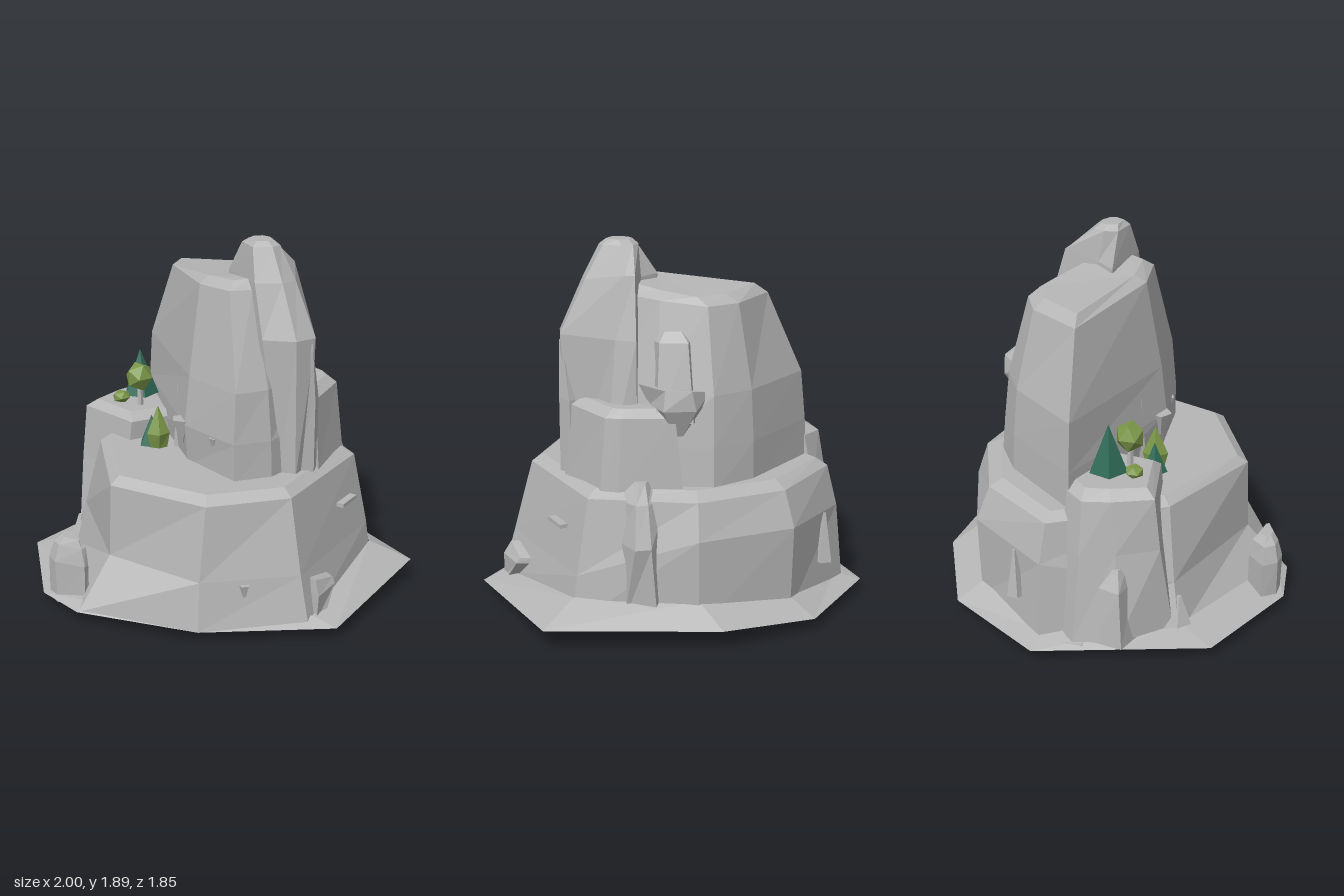
import * as THREE from 'three';

const mat = (name, color) => new THREE.MeshStandardMaterial({ name, color, flatShading: true, side: THREE.DoubleSide });

// Skin a stack of [height, [[x, z, extraHeight?], ...]] rings, listed counter-clockwise from above
function loft(levels, cap = true, floor = false) {
  const rings = levels.map(([y, pts]) => pts.map(([x, z, dy = 0]) => [x, y + dy, z]));
  const pos = [];
  const tri = (...p) => p.forEach(v => pos.push(...v));
  const n = rings[0].length;
  for (let k = 0; k + 1 < rings.length; k++) {
    const a = rings[k], b = rings[k + 1];
    for (let i = 0; i < n; i++) {
      const j = (i + 1) % n;
      tri(a[i], a[j], b[j]);
      tri(a[i], b[j], b[i]);
    }
  }
  const top = rings[rings.length - 1];
  for (let i = 1; i + 1 < n; i++) {
    if (cap) tri(top[0], top[i], top[i + 1]);
    if (floor) tri(rings[0][0], rings[0][i + 1], rings[0][i]);
  }
  const g = new THREE.BufferGeometry();
  g.setAttribute('position', new THREE.Float32BufferAttribute(pos, 3));
  g.computeVertexNormals();
  return g;
}

export function createModel() {
  const root = new THREE.Group();
  root.name = 'rockIsland';
  const rock = mat('rock grey', 0xb6b6b6);
  const pine = mat('pine green', 0x2f6a56);
  const leaf = mat('leaf green', 0x7b9748);

  const add = (name, geo, m = rock, x = 0, y = 0, z = 0) => {
    const mesh = new THREE.Mesh(geo, m);
    mesh.name = name;
    mesh.position.set(x, y, z);
    root.add(mesh);
    return mesh;
  };

  // Sloping apron around the foot
  add('apron', loft([
    [0.06, [[-0.18, 0.92], [0.11, 0.89], [0.64, 0.51], [1, -0.08], [0.68, -0.86, 0.04], [-0.19, -0.93, 0.04],
      [-0.67, -0.72], [-1, -0.21], [-0.87, 0.22], [-0.74, 0.65]]],
    [0.1, [[-0.12, 0.72], [0.1, 0.82], [0.6, 0.48], [0.88, -0.02], [0.53, -0.69, 0.1], [-0.08, -0.78, 0.1],
      [-0.56, -0.61, 0.04], [-0.86, -0.2], [-0.8, 0.18], [-0.6, 0.44]]],
  ], false));

  // Lower tier with a bevelled rim, bulging at the back left
  add('lowerTier', loft([
    [0.06, [[0.11, 0.88], [0.64, 0.51], [0.9, 0.02], [0.54, -0.7], [-0.08, -0.8], [-0.56, -0.62], [-0.9, -0.2], [-0.66, 0.47]]],
    [0.31, [[0.08, 0.67], [0.61, 0.48], [0.83, 0.02], [0.51, -0.68], [-0.08, -0.8, 0.2], [-0.57, -0.63, 0.2], [-0.86, -0.2, 0.17], [-0.58, 0.42]]],
    [0.69, [[0.08, 0.655], [0.58, 0.42], [0.73, 0.01], [0.45, -0.63], [-0.08, -0.74], [-0.53, -0.57], [-0.81, -0.18], [-0.49, 0.37]]],
    [0.73, [[0.07, 0.6], [0.53, 0.38], [0.67, 0.01], [0.41, -0.58], [-0.08, -0.66], [-0.49, -0.51], [-0.75, -0.17], [-0.45, 0.33]]],
  ]));

  // Upper tier, leaning back from a long front wall
  add('upperTier', loft([
    [0.7, [[0.09, 0.19], [0.47, 0.17], [0.53, -0.02], [0.46, -0.35], [0.1, -0.58], [-0.17, -0.62], [-0.38, -0.49], [-0.71, -0.09]]],
    [0.92, [[0.09, 0.21], [0.465, 0.17], [0.52, -0.02], [0.44, -0.35], [0.1, -0.56], [-0.17, -0.6], [-0.38, -0.48], [-0.7, -0.09]]],
    [1.18, [[0.09, 0.18], [0.45, 0.15], [0.49, -0.02], [0.38, -0.33], [0.1, -0.5], [-0.17, -0.57], [-0.37, -0.46], [-0.675, -0.09]]],
    [1.62, [[0.07, 0.1, 0.03], [0.3, 0.08, 0.04], [0.34, -0.03, 0.04], [0.28, -0.28, 0.02], [0.08, -0.39], [-0.15, -0.46, -0.02], [-0.31, -0.38, -0.02], [-0.49, -0.11, -0.02]]],
    [1.66, [[0.06, 0.04, 0.025], [0.26, 0.03, 0.04], [0.3, -0.05, 0.045], [0.23, -0.23, 0.03], [0.07, -0.33], [-0.1, -0.41, -0.02], [-0.25, -0.34, -0.02], [-0.42, -0.12, -0.01]]],
  ]));

  // Tall pinnacle behind the upper tier, with a ridge on its right and a sharp rear corner
  add('pinnacle', loft([
    [0.7, [[0.2, -0.06], [0.5, -0.09], [0.57, -0.14], [0.51, -0.28], [0.36, -0.5], [0.2, -0.5], [0.16, -0.25]]],
    [1.43, [[0.1, -0.06], [0.45, -0.01], [0.57, -0.13], [0.57, -0.25], [0.3, -0.41], [0.2, -0.46], [0.16, -0.22]]],
    [1.7, [[0.07, -0.08], [0.37, -0.02], [0.45, -0.13], [0.44, -0.22], [0.25, -0.36, 0.04], [0.2, -0.37, 0.04], [0.16, -0.18]]],
    [1.865, [[0.18, -0.08], [0.31, -0.05], [0.365, -0.13], [0.35, -0.19], [0.26, -0.22], [0.2, -0.21], [0.17, -0.15]]],
    [1.89, [[0.22, -0.09], [0.3, -0.08], [0.33, -0.13], [0.32, -0.16], [0.27, -0.19], [0.22, -0.18], [0.2, -0.14]]],
  ]));
  add('sideSpike', loft([
    [0.72, [[0.53, -0.15], [0.58, -0.25], [0.52, -0.32], [0.4, -0.24]]],
    [1.1, [[0.55, -0.18], [0.58, -0.25], [0.53, -0.31], [0.42, -0.24]]],
    [1.4, [[0.565, -0.22], [0.575, -0.23], [0.56, -0.24], [0.55, -0.23]]],
  ]));

  // Ledges stacked on the back
  add('backLedge', loft([
    [0.7, [[0.56, -0.3], [0.39, -0.6], [0.3, -0.62], [-0.02, -0.63], [0, -0.3]]],
    [1.08, [[0.52, -0.3], [0.36, -0.57], [0.28, -0.59], [0.02, -0.6], [0.04, -0.3]]],
    [1.12, [[0.46, -0.3], [0.32, -0.53], [0.26, -0.55], [0.05, -0.55], [0.06, -0.3]]],
  ]));
  add('backSlab', loft([
    [1.05, [[0.14, -0.4], [0.11, -0.58], [-0.07, -0.6], [-0.12, -0.45]]],
    [1.43, [[0.13, -0.36], [0.09, -0.49], [-0.05, -0.51], [-0.09, -0.4]]],
    [1.48, [[0.1, -0.36], [0.06, -0.45], [-0.02, -0.46], [-0.05, -0.4]]],
  ]));
  add('backOverhang', loft([
    [0.98, [[0.05, -0.5], [0.02, -0.57], [-0.02, -0.57], [-0.05, -0.52]]],
    [1.12, [[0.14, -0.48], [0.08, -0.63], [-0.08, -0.63], [-0.14, -0.52]]],
    [1.22, [[0.19, -0.46], [0.07, -0.61], [-0.06, -0.63], [-0.16, -0.52, -0.03]]],
  ]));
  add('backButtress', loft([
    [0.1, [[0.34, -0.6], [0.28, -0.74], [0.12, -0.79], [0.0, -0.62]]],
    [0.48, [[0.34, -0.6], [0.23, -0.81], [0.15, -0.8], [0.04, -0.6]]],
    [0.68, [[0.32, -0.6], [0.22, -0.73], [0.16, -0.72], [0.06, -0.6]]],
    [0.77, [[0.24, -0.57], [0.2, -0.66], [0.17, -0.65], [0.13, -0.57]]],
  ]));

  // Side outcrop carrying the trees, with a low rock leaning on it
  add('outcrop', loft([
    [0.09, [[-0.64, 0.43], [-0.32, 0.36], [-0.26, 0], [-0.8, -0.14], [-0.91, -0.02], [-0.86, 0.2]]],
    [0.55, [[-0.68, 0.37], [-0.32, 0.31], [-0.27, 0.02], [-0.75, -0.12], [-0.84, 0], [-0.79, 0.17]]],
    [0.83, [[-0.68, 0.34], [-0.31, 0.28], [-0.28, 0.04], [-0.7, -0.1], [-0.79, 0], [-0.76, 0.14]]],
    [0.87, [[-0.64, 0.29], [-0.36, 0.25], [-0.33, 0.06], [-0.65, -0.07], [-0.72, 0], [-0.7, 0.12]]],
  ]));
  add('leaningRock', loft([
    [0.08, [[-0.7, 0.3], [-0.66, 0.1], [-0.87, 0.07], [-0.9, 0.23]]],
    [0.38, [[-0.72, 0.25], [-0.68, 0.1], [-0.83, 0.08], [-0.87, 0.21]]],
    [0.48, [[-0.74, 0.22], [-0.7, 0.12], [-0.79, 0.1], [-0.81, 0.19]]],
  ]));

  // Rounded boulder at the foot of the front
  add('frontBoulder', loft([
    [0.03, [[-0.18, 0.88], [-0.1, 0.885], [0.04, 0.8], [0.03, 0.77], [-0.14, 0.72], [-0.24, 0.81]]],
    [0.26, [[-0.18, 0.88], [-0.1, 0.89], [0.045, 0.8], [0.03, 0.77], [-0.14, 0.72], [-0.235, 0.81]]],
    [0.35, [[-0.16, 0.86], [-0.1, 0.865], [0.02, 0.8], [0.01, 0.77], [-0.13, 0.735], [-0.2, 0.81]]],
    [0.39, [[-0.13, 0.83], [-0.09, 0.835], [-0.01, 0.8], [-0.02, 0.785], [-0.12, 0.765], [-0.15, 0.81]]],
  ], true, true));

  // Small rocks at the left and right rims
  add('underRock', loft([
    [0, [[-0.74, 0.02], [-0.73, -0.14], [-0.77, -0.14], [-0.78, 0.02]]],
    [0.08, [[-0.72, 0.04], [-0.72, -0.25], [-0.9, -0.22], [-0.92, 0.03]]],
  ], true, true));
  add('rightRimRock', loft([
    [0.07, [[0.89, -0.04], [0.88, -0.1], [0.78, -0.1], [0.8, -0.04]]],
    [0.2, [[0.89, -0.05], [0.82, -0.21], [0.73, -0.22], [0.76, -0.05]]],
    [0.27, [[0.85, -0.06], [0.8, -0.21, -0.04], [0.73, -0.22, -0.04], [0.77, -0.06]]],
  ], true, true));

  // Pointed stones stuck to the walls: x, y, z, radius, height, inverted
  const stones = [
    [0.04, 0.875, 0.19, 0.06, 0.13, true], [0.3, 0.875, 0.17, 0.033, 0.07, true],
    [0.71, 0.24, 0.28, 0.03, 0.09, true], [-0.77, 0.36, -0.36, 0.05, 0.26, false],
    [-0.59, 0.15, 0.45, 0.08, 0.18, false],
  ];
  stones.forEach(([x, y, z, r, h, inverted], i) => {
    const s = add('wallStone' + (i + 1), new THREE.CylinderGeometry(inverted ? r : r * 0.15, inverted ? r * 0.15 : r, h, 5), rock, x, y, z);
    s.rotation.y = i * 0.9;
  });
  add('thinFin', new THREE.ConeGeometry(0.03, 0.38, 4), rock, -0.105, 0.9, 0.12);
  add('sideShelf', new THREE.BoxGeometry(0.04, 0.02, 0.15), rock, 0.6, 0.515, -0.46).rotation.y = 0.4;

  // Trees and bushes
  const cone = (name, m, x, y, z, r, h) => add(name, new THREE.ConeGeometry(r, h, 5), m, x, y + h / 2, z);
  const crown = (name, x, y, z, r, h) => add(name, new THREE.IcosahedronGeometry(1, 0), leaf, x, y, z).scale.set(r, h, r);
  cone('tallPine', pine, -0.55, 0.89, 0.07, 0.1, 0.25);
  cone('tallPineTrunk', rock, -0.55, 0.86, 0.07, 0.02, 0.08);
  cone('smallPine', pine, -0.21, 0.73, 0.22, 0.07, 0.16);
  add('roundTreeTrunk', new THREE.CylinderGeometry(0.015, 0.018, 0.12, 5), rock, -0.43, 0.92, 0.15);
  crown('roundTreeCrown', -0.435, 1.03, 0.15, 0.078, 0.082);
  crown('bush', -0.54, 0.895, 0.2, 0.052, 0.035);
  add('leafyTree', loft([
    [0.73, [[-0.16, 0.26], [-0.12, 0.23], [-0.12, 0.18], [-0.18, 0.17], [-0.2, 0.22]]],
    [0.81, [[-0.16, 0.28], [-0.1, 0.24], [-0.11, 0.17], [-0.18, 0.15], [-0.22, 0.22]]],
    [0.95, [[-0.16, 0.215], [-0.158, 0.212], [-0.16, 0.208], [-0.163, 0.208], [-0.163, 0.212]]],
  ]), leaf);

  return root;
}
